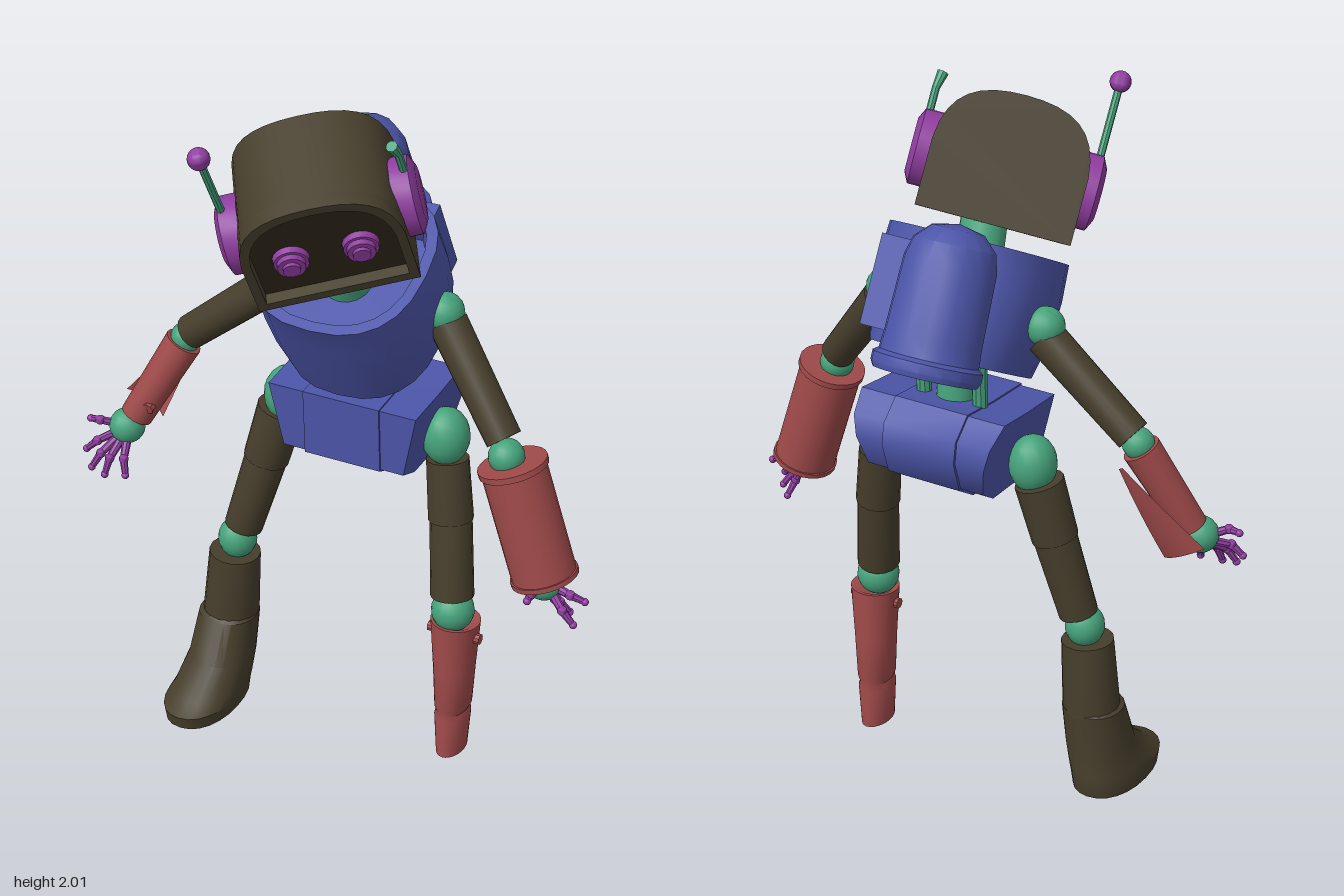
import * as THREE from 'three';
import { toCreasedNormals } from 'three/addons/utils/BufferGeometryUtils.js';

const mat = (color, side = THREE.FrontSide) => new THREE.MeshStandardMaterial({ color, side });
const BROWN = mat(0x463e2c), BLUE = mat(0x4c55a8), RED = mat(0xa04a4a, THREE.DoubleSide);
const GREEN = mat(0x46a37c), PURPLE = mat(0x8f3d9f), DARK = mat(0x2c2619);
const V = (x, y, z) => new THREE.Vector3(x, y, z);

export function createModel() {
  const root = new THREE.Group();

  const add = (name, geo, material, parent = root, crease = 0.6) => {
    const m = new THREE.Mesh(toCreasedNormals(geo, crease), material);
    m.name = name;
    parent.add(m);
    return m;
  };
  const group = (name, parent = root) => {
    const g = new THREE.Group();
    g.name = name;
    parent.add(g);
    return g;
  };
  // Cylinder from a to b, radius ra at a and rb at b
  const link = (name, a, b, ra, rb, material, parent = root, sides = 16) => {
    const d = b.clone().sub(a);
    const m = add(name, new THREE.CylinderGeometry(rb, ra, d.length(), sides), material, parent);
    m.position.copy(a).addScaledVector(d, 0.5);
    m.quaternion.setFromUnitVectors(V(0, 1, 0), d.normalize());
    return m;
  };
  const ball = (name, p, r, material, parent = root, sy = 1) => {
    const m = add(name, new THREE.SphereGeometry(r, 18, 12), material, parent, 1.2);
    m.position.copy(p);
    m.scale.y = sy;
    return m;
  };
  // Loft of superellipse rings [y, cx, cz, rx, rz], listed along the outline from bottom to top
  const loft = (rings, power = 2, n = 24) => {
    const pos = [], idx = [];
    const c = (v) => Math.sign(v) * Math.abs(v) ** (2 / power);
    for (const [y, cx, cz, rx, rz] of rings)
      for (let j = 0; j < n; j++) {
        const a = (j / n) * Math.PI * 2;
        pos.push(cx + rx * c(Math.cos(a)), y, cz + rz * c(Math.sin(a)));
      }
    for (let i = 0; i < rings.length - 1; i++)
      for (let j = 0; j < n; j++) {
        const k = (j + 1) % n, l = i * n, u = l + n;
        idx.push(l + j, u + j, u + k, l + j, u + k, l + k);
      }
    const g = new THREE.BufferGeometry();
    g.setAttribute('position', new THREE.Float32BufferAttribute(pos, 3));
    g.setIndex(idx);
    return g;
  };

  // Head: domed block turned to its left, tipped forward
  const head = group('head');
  head.position.set(0.025, 1.755, 0.23);
  head.quaternion.setFromRotationMatrix(new THREE.Matrix4().makeBasis(
    V(0.87, 0.245, -0.43), V(-0.023, 0.889, 0.459), V(0.494, -0.389, 0.778)));
  const outline = (s, Type) => {
    const p = new Type();
    const w = 0.215 - s, b = -0.155 + s, top = 0.2 - s;
    p.moveTo(-w, b);
    p.lineTo(w, b);
    p.lineTo(w, 0.03);
    p.bezierCurveTo(w - 0.01, top - 0.04, w * 0.6, top, 0, top);
    p.bezierCurveTo(-w * 0.6, top, -w + 0.01, top - 0.04, -w, 0.03);
    p.closePath();
    return p;
  };
  const slab = (shape, z0, z1) => {
    const g = new THREE.ExtrudeGeometry(shape, { depth: z1 - z0, bevelEnabled: false, curveSegments: 8 });
    return g.translate(0, 0, z0);
  };
  add('skull', slab(outline(0, THREE.Shape), -0.17, 0.1), BROWN, head);
  const rim = outline(0, THREE.Shape);
  rim.holes.push(outline(0.025, THREE.Path));
  add('faceRim', slab(rim, 0.1, 0.145), BROWN, head);
  add('facePlate', slab(outline(0.025, THREE.Shape), 0.1, 0.112), DARK, head);
  for (const s of [-1, 1]) {
    // Eyes made of stacked discs
    const eye = group(s > 0 ? 'leftEye' : 'rightEye', head);
    [[0.05, 0.13], [0.04, 0.145], [0.025, 0.155]].forEach(([r, z]) =>
      link('eyeDisc', V(s * 0.092, -0.01, 0.1), V(s * 0.092, -0.01, z), r, r * 0.92, PURPLE, eye, 20));
    // Ear discs and aerials; the left aerial is snapped
    link('ear', V(s * 0.2, 0, 0), V(s * 0.25, 0, 0), 0.105, 0.105, PURPLE, head, 24);
    link('earCap', V(s * 0.25, 0, 0), V(s * 0.265, 0, 0), 0.105, 0.075, PURPLE, head, 24);
    link('aerial', V(s * 0.24, 0.05, 0), V(s * 0.24, s > 0 ? 0.17 : 0.3, 0), 0.011, 0.011, GREEN, head, 8);
    if (s < 0) ball('aerialTip', V(-0.24, 0.31, 0), 0.03, PURPLE, head);
    else link('brokenTip', V(0.24, 0.165, 0), V(0.232, 0.21, 0.01), 0.011, 0.016, GREEN, head, 8);
  }
  link('neck', V(0.03, 1.42, 0.06), V(0.05, 1.63, 0.16), 0.07, 0.065, GREEN);

  // Chest shell leaning forward, with hollow collar and underside
  const chest = group('chest');
  chest.position.set(0.035, 1.435, 0.034);
  chest.rotation.x = 0.49;
  add('chestShell', loft([
    [-0.07, 0, 0, 0, 0], [-0.07, 0, 0, 0.15, 0.15], [-0.16, 0, 0, 0.185, 0.2], [-0.16, 0, 0, 0.21, 0.23],
    [-0.05, 0, 0, 0.238, 0.236], [0.06, 0, 0, 0.245, 0.238], [0.12, 0, 0, 0.24, 0.24], [0.165, 0, 0, 0.235, 0.245],
    [0.165, 0, 0, 0.205, 0.215], [0.09, 0, 0, 0.19, 0.2], [0.09, 0, 0, 0, 0],
  ], 2.5), BLUE, chest);
  const back = add('chestBack', new THREE.BoxGeometry(0.26, 0.25, 0.1), BLUE, chest);
  back.position.set(0.03, 0, -0.2);

  // Tank carried behind the right shoulder
  const tank = add('backTank', new THREE.LatheGeometry(
    [[0, 0], [0.14, 0], [0.148, 0.015], [0.148, 0.04], [0.134, 0.05], [0.13, 0.1], [0.124, 0.3],
      [0.11, 0.35], [0.07, 0.39], [0, 0.405]].map(([r, y]) => new THREE.Vector2(r, y)), 16), BLUE);
  tank.position.set(-0.1, 1.42, -0.39);
  tank.rotation.x = 0.45;
  link('tankMount', V(-0.06, 1.5, -0.12), V(-0.1, 1.6, -0.3), 0.06, 0.06, BLUE);

  // Spine
  link('spine', V(0.03, 1.08, -0.03), V(0.03, 1.42, 0), 0.055, 0.055, GREEN);
  for (const x of [-0.06, 0.12])
    link('spineRod', V(x, 1.12, -0.04), V(x, 1.36, -0.05), 0.022, 0.022, GREEN, root, 10);

  // Pelvis: rounded profile run sideways, flaring towards the top
  const hips = group('pelvis');
  const profile = [[-0.14, 0.97], [-0.05, 0.93], [0.1, 0.935], [0.17, 0.98], [0.2, 1.07],
    [0.19, 1.13], [0.13, 1.185], [0, 1.17], [-0.15, 1.16]];
  for (const [name, half, grow, flare] of [['hipShell', 0.175, 1, 1.2], ['hipBand', 0.115, 1.04, 0]]) {
    const shape = new THREE.Shape(profile.map(([u, y]) => new THREE.Vector2(u * grow, 1.06 + (y - 1.06) * grow)));
    const g = slab(shape, -half, half).rotateY(Math.PI / 2);
    const p = g.attributes.position;
    for (let i = 0; i < p.count; i++) p.setX(i, 0.04 + p.getX(i) * (1 + flare * (p.getY(i) - 0.93)));
    add(name, g, BLUE, hips, 0.7);
  }

  // Right leg with boot
  const rightLeg = group('rightLeg');
  ball('hipJoint', V(-0.215, 1.03, -0.02), 0.068, GREEN, rightLeg, 1.25);
  link('thighTop', V(-0.235, 0.98, -0.02), V(-0.28, 0.81, -0.005), 0.07, 0.066, BROWN, rightLeg);
  link('thigh', V(-0.28, 0.81, -0.005), V(-0.345, 0.575, 0.02), 0.062, 0.056, BROWN, rightLeg);
  ball('knee', V(-0.36, 0.535, 0.03), 0.057, GREEN, rightLeg, 1.1);
  link('bootShaft', V(-0.385, 0.27, 0.035), V(-0.367, 0.49, 0.035), 0.083, 0.075, BROWN, rightLeg);
  add('boot', loft([
    [0.01, -0.415, 0.135, 0, 0], [0.01, -0.415, 0.135, 0.1, 0.17], [0.05, -0.415, 0.135, 0.104, 0.178],
    [0.075, -0.41, 0.11, 0.1, 0.15], [0.15, -0.4, 0.065, 0.094, 0.105], [0.28, -0.388, 0.04, 0.088, 0.086],
    [0.29, -0.386, 0.04, 0.075, 0.075], [0.29, -0.386, 0.04, 0, 0],
  ], 2.2), BROWN, rightLeg);

  // Left leg with tapered peg shin
  const leftLeg = group('leftLeg');
  ball('hipJoint', V(0.275, 1.025, -0.02), 0.068, GREEN, leftLeg, 1.25);
  link('thighTop', V(0.277, 0.95, -0.03), V(0.3, 0.77, -0.01), 0.06, 0.064, BROWN, leftLeg);
  link('thigh', V(0.3, 0.77, -0.01), V(0.325, 0.54, 0.025), 0.06, 0.062, BROWN, leftLeg);
  ball('knee', V(0.33, 0.495, 0.03), 0.062, GREEN, leftLeg);
  add('shin', loft([
    [0.005, 0.328, 0.013, 0, 0], [0.005, 0.328, 0.013, 0.04, 0.066], [0.13, 0.329, 0.013, 0.05, 0.067],
    [0.15, 0.329, 0.013, 0.044, 0.064], [0.165, 0.33, 0.013, 0.051, 0.068], [0.3, 0.332, 0.015, 0.06, 0.068],
    [0.46, 0.335, 0.02, 0.072, 0.07], [0.46, 0.335, 0.02, 0.062, 0.06], [0.42, 0.335, 0.02, 0, 0],
  ]), RED, leftLeg);
  for (const s of [-1, 1])
    link('kneeBolt', V(0.335 + s * 0.06, 0.415, 0.025), V(0.335 + s * 0.08, 0.415, 0.025), 0.016, 0.016, RED, leftLeg, 10);

  // Hand: palm ball and five jointed fingers reaching the given tips
  const hand = (arm, palm, tips) => {
    const h = group('hand', arm);
    ball('palm', palm, 0.052, GREEN, h);
    for (const tip of tips) {
      const knuckle = palm.clone().lerp(tip, 0.32), mid = palm.clone().lerp(tip, 0.68).add(V(0, 0.008, 0.012));
      link('fingerBase', knuckle, mid, 0.013, 0.011, PURPLE, h, 8);
      link('fingerEnd', mid, tip, 0.012, 0.009, PURPLE, h, 8);
      ball('fingerJoint', mid, 0.014, PURPLE, h);
      ball('fingerTip', tip, 0.011, PURPLE, h);
    }
  };

  // Right arm
  const rightArm = group('rightArm');
  ball('shoulder', V(-0.225, 1.43, 0.02), 0.055, GREEN, rightArm);
  link('upperArm', V(-0.225, 1.4, 0.02), V(-0.5, 1.175, 0.02), 0.055, 0.05, BROWN, rightArm);
  ball('elbow', V(-0.515, 1.155, 0.022), 0.045, GREEN, rightArm);
  link('forearm', V(-0.522, 1.14, 0.025), V(-0.645, 0.905, 0.095), 0.054, 0.047, RED, rightArm);
  link('forearmStud', V(-0.593, 0.96, 0.09), V(-0.593, 0.95, 0.122), 0.02, 0.018, RED, rightArm, 8);
  hand(rightArm, V(-0.665, 0.875, 0.115), [V(-0.765, 0.89, 0.15), V(-0.765, 0.805, 0.18),
    V(-0.735, 0.765, 0.205), V(-0.69, 0.755, 0.21), V(-0.63, 0.76, 0.195)]);
  // Loose sliver of the broken sleeve behind the forearm
  const shard = new THREE.PlaneGeometry(1, 1, 8, 6);
  const sp = shard.attributes.position, axisTop = V(-0.53, 1.14, 0.015), axisEnd = V(-0.68, 0.88, 0.09);
  for (let i = 0; i < sp.count; i++) {
    const t = 0.5 - sp.getY(i), a = sp.getX(i) * (0.1 + 1.1 * t);
    const q = axisTop.clone().lerp(axisEnd, t).add(V(0.87 * Math.sin(a), -0.45 * Math.sin(a), -Math.cos(a)).multiplyScalar(0.12));
    sp.setXYZ(i, q.x, q.y, q.z);
  }
  add('sleeveShard', shard, RED, rightArm, 1);

  // Left arm with full sleeve
  const leftArm = group('leftArm');
  ball('shoulder', V(0.28, 1.43, 0.015), 0.055, GREEN, leftArm);
  link('upperArm', V(0.29, 1.4, 0.015), V(0.5, 1.14, 0.1), 0.055, 0.05, BROWN, leftArm);
  ball('elbow', V(0.515, 1.1, 0.115), 0.05, GREEN, leftArm);
  const top = V(0.532, 1.085, 0.115), end = V(0.64, 0.75, 0.115);
  const at = (t) => top.clone().lerp(end, t);
  link('sleeve', at(0.02), at(0.98), 0.09, 0.09, RED, leftArm, 24);
  link('sleeveTopRim', at(0), at(0.05), 0.097, 0.097, RED, leftArm, 24);
  link('sleeveEndRim', at(0.96), at(1), 0.095, 0.095, RED, leftArm, 24);
  hand(leftArm, V(0.64, 0.74, 0.12), [V(0.625, 0.72, 0.2), V(0.76, 0.71, 0.12),
    V(0.745, 0.655, 0.16), V(0.71, 0.65, 0.1), V(0.675, 0.635, 0.07)]);

  return root;
}
